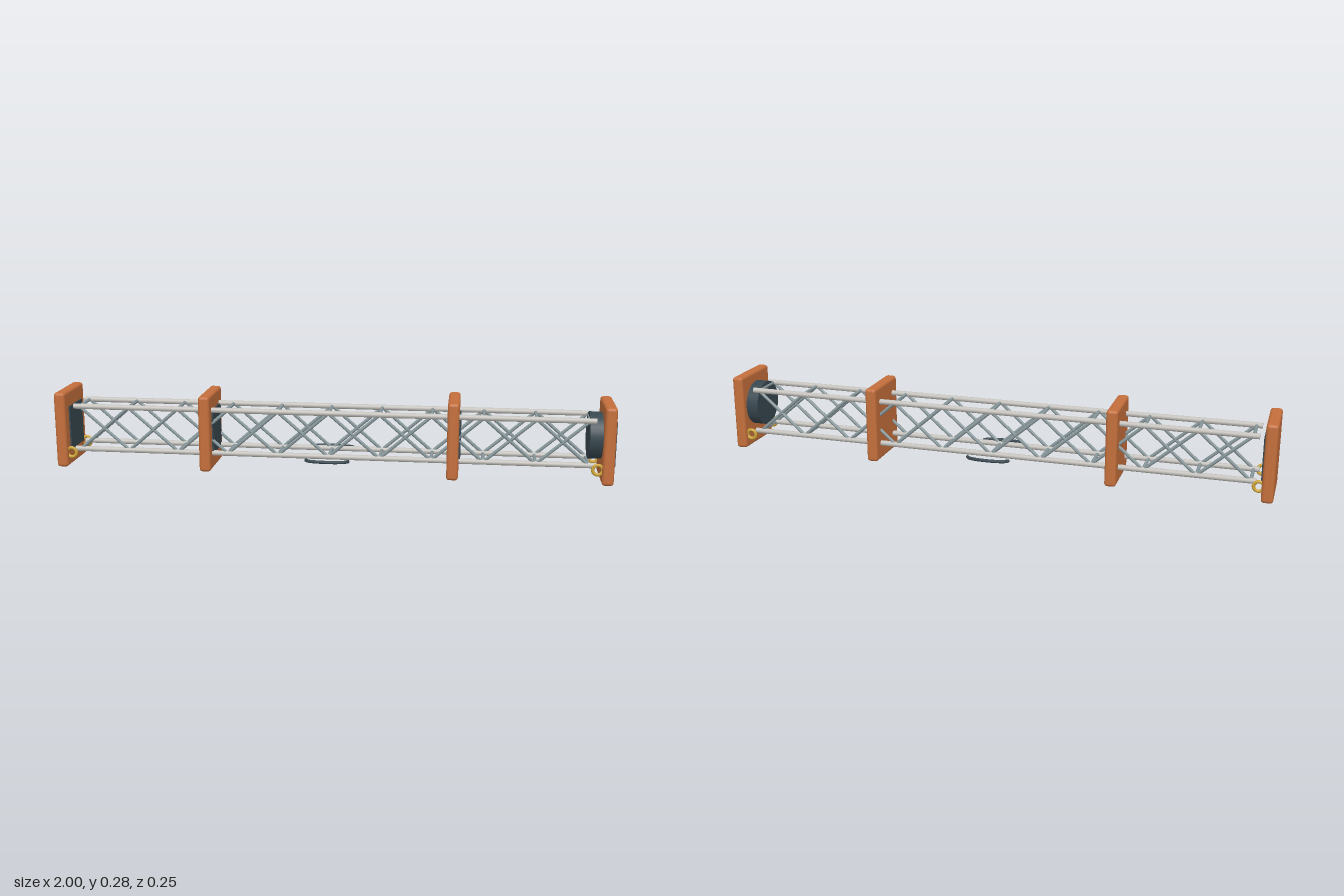
import * as THREE from 'three';
import { RoundedBoxGeometry } from 'three/addons/geometries/RoundedBoxGeometry.js';

const mat = (name, color) => {
  const m = new THREE.MeshStandardMaterial({ color });
  m.name = name;
  return m;
};

export function createModel() {
  const root = new THREE.Group();
  const orange = mat('burnt orange', 0xc46f3c);
  const dark = mat('dark slate', 0x37474f);
  const silver = mat('light metal', 0xc4c1bc);
  const steel = mat('steel blue grey', 0x8a9a9e);
  const gold = mat('brass', 0xcfa63a);

  const add = (name, geo, material, x = 0, y = 0, z = 0) => {
    const mesh = new THREE.Mesh(geo, material);
    mesh.name = name;
    mesh.position.set(x, y, z);
    root.add(mesh);
    return mesh;
  };

  // Round bar between two points
  const bar = (name, a, b, radius, material, sides = 8) => {
    const from = new THREE.Vector3(...a), to = new THREE.Vector3(...b);
    const dir = to.clone().sub(from);
    const mesh = add(name, new THREE.CylinderGeometry(radius, radius, dir.length(), sides), material);
    mesh.position.copy(from).add(to).multiplyScalar(0.5);
    mesh.quaternion.setFromUnitVectors(new THREE.Vector3(0, 1, 0), dir.normalize());
  };

  const mid = -0.005, low = 0.062, high = 0.221, half = 0.06;

  // Bulkhead frames, each with a dark inset panel on its +x face
  for (const x of [-0.98, -0.448, 0.438, 0.974]) {
    add('bulkhead', new RoundedBoxGeometry(0.041, 0.276, 0.21, 3, 0.011), orange, x, 0.139, 0);
    add('bulkheadPanel', new THREE.BoxGeometry(0.009, 0.16, 0.13), dark, x + 0.0215, 0.14, 0);
  }

  // Four long chords
  for (const z of [-half, half])
    for (const y of [low, high])
      bar('chord', [mid - 0.935, y, z], [mid + 0.935, y, z], 0.01, silver, 12);

  // Rungs across top and bottom, crossed braces on both sides
  const bays = 10, step = 0.183, start = mid - (bays * step) / 2;
  for (let i = 0; i <= bays; i++) {
    const x = start + i * step;
    for (const y of [low, high]) bar('rung', [x, y, -half], [x, y, half], 0.006, steel);
    if (i === bays) continue;
    for (const z of [-half, half]) {
      bar('brace', [x, low, z], [x + step, high, z], 0.006, steel);
      bar('brace', [x, high, z], [x + step, low, z], 0.006, steel);
    }
  }

  // Round drum on the inner face of the last bulkhead
  add('drum', new THREE.CylinderGeometry(0.083, 0.083, 0.05, 32), dark, 0.933, 0.157, 0)
    .rotation.z = Math.PI / 2;

  for (const side of [-1, 1]) {
    // Brass lifting rings at both ends
    for (const end of [-1, 1])
      add('liftingRing', new THREE.TorusGeometry(0.017, 0.006, 8, 24), gold, mid + end * 0.944, 0.053, side * 0.084);

    // Curved grab handle with rounded ends
    const points = [[-0.075, 0.099], [-0.066, 0.109], [-0.035, 0.117], [0, 0.119], [0.035, 0.117], [0.066, 0.109], [0.075, 0.099]]
      .map(([x, z]) => new THREE.Vector3(mid + x, 0.057, side * z));
    add('handle', new THREE.TubeGeometry(new THREE.CatmullRomCurve3(points), 32, 0.006, 10), dark);
    for (const p of [points[0], points[6]])
      add('handleEnd', new THREE.SphereGeometry(0.006, 10, 8), dark, p.x, p.y, p.z);
  }

  return root;
}
